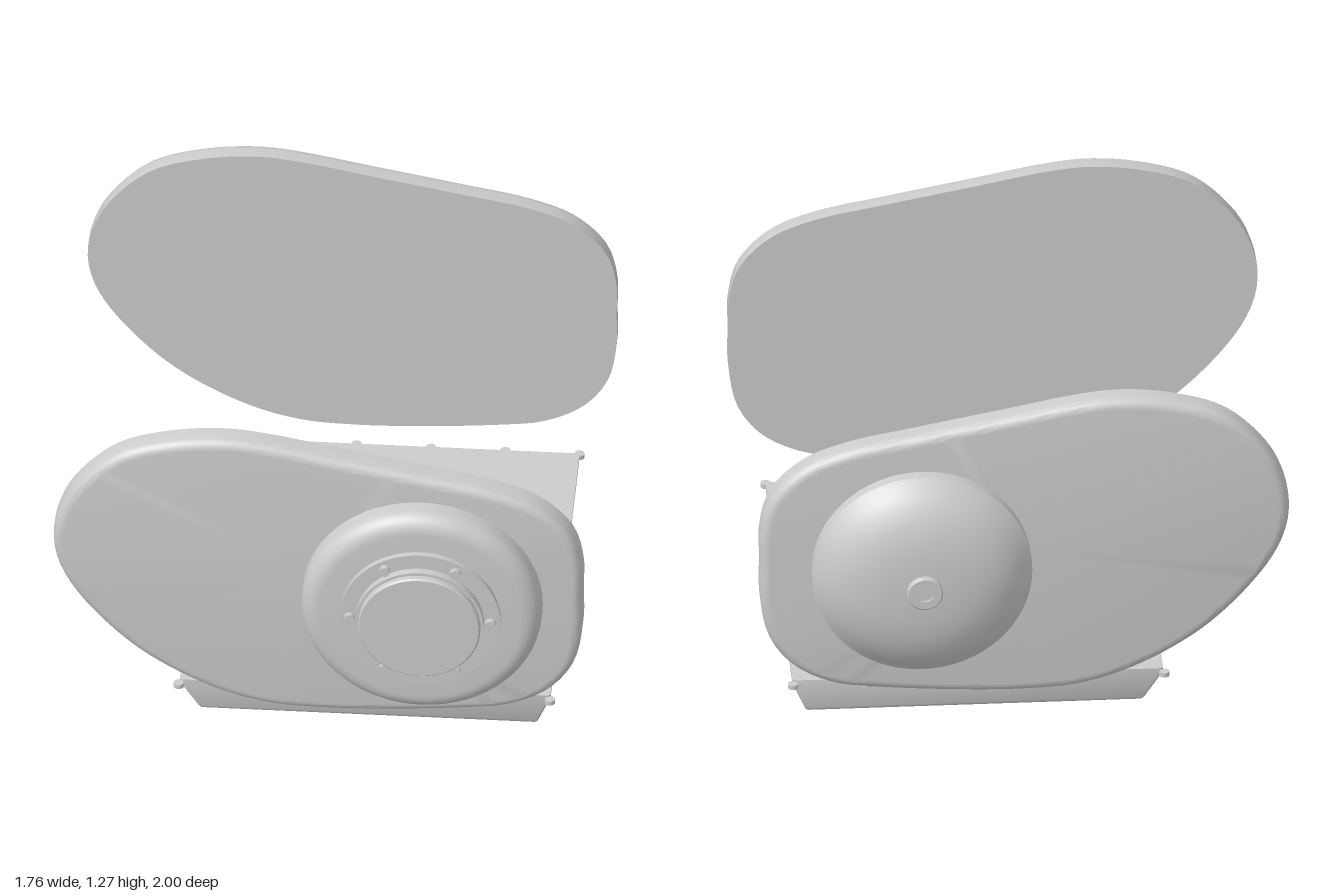
import * as THREE from 'three';
import { toCreasedNormals } from 'three/addons/utils/BufferGeometryUtils.js';

const grey = new THREE.MeshStandardMaterial({ color: 0xcccccc });
grey.name = 'plain grey';

// Joins rings of equal point count (counter-clockwise about the stacking direction) and closes both ends.
function loft(rings, crease = 0.6) {
  const n = rings[0].length, pos = [], idx = [];
  rings.forEach(r => r.forEach(p => pos.push(p.x, p.y, p.z)));
  for (let k = 0; k < rings.length - 1; k++) {
    for (let i = 0; i < n; i++) {
      const j = (i + 1) % n, a = k * n, b = a + n;
      idx.push(a + i, a + j, b + j, a + i, b + j, b + i);
    }
  }
  [0, rings.length - 1].forEach((k, end) => {
    const c = new THREE.Vector3();
    rings[k].forEach(p => c.addScaledVector(p, 1 / n));
    const ci = pos.length / 3;
    pos.push(c.x, c.y, c.z);
    for (let i = 0; i < n; i++) {
      const a = k * n + i, b = k * n + (i + 1) % n;
      if (end) idx.push(ci, a, b); else idx.push(ci, b, a);
    }
  });
  const g = new THREE.BufferGeometry();
  g.setAttribute('position', new THREE.Float32BufferAttribute(pos, 3));
  g.setIndex(idx);
  return toCreasedNormals(g, crease);
}

function add(parent, name, geometry, x = 0, y = 0, z = 0) {
  const m = new THREE.Mesh(geometry, grey);
  m.name = name;
  m.position.set(x, y, z);
  parent.add(m);
  return m;
}

// Round part turned about the z axis; dir is +1 for forward, -1 for backward
function turned(profile, dir) {
  const g = new THREE.LatheGeometry(profile.map(p => new THREE.Vector2(...p)), 64);
  return toCreasedNormals(g.rotateX(dir * Math.PI / 2), 0.6);
}

// Side cover outline, counter-clockwise
const outline = [
  [0.88, 0.55], [0.88, 0.68], [0.88, 0.80], [0.845, 0.93], [0.74, 1.04], [0.60, 1.10],
  [0.35, 1.153], [0.08, 1.206], [-0.18, 1.257], [-0.32, 1.27], [-0.5, 1.25], [-0.67, 1.19],
  [-0.81, 1.05], [-0.865, 0.93], [-0.88, 0.83], [-0.86, 0.72], [-0.79, 0.59], [-0.60, 0.385],
  [-0.36, 0.24], [-0.17, 0.182], [0, 0.17], [0.2, 0.174], [0.5, 0.197], [0.64, 0.22],
  [0.77, 0.29], [0.85, 0.40],
].map(p => new THREE.Vector3(p[0], p[1], 0));

function coverRing(inset, z) {
  const curve = new THREE.CatmullRomCurve3(outline, true, 'centripetal');
  const ring = [];
  for (let i = 0; i < 120; i++) {
    const p = curve.getPointAt(i / 120), t = curve.getTangentAt(i / 120);
    ring.push(new THREE.Vector3(p.x - t.y * inset, p.y + t.x * inset, z));
  }
  return ring;
}

// Flat cover with a rounded outer edge
function cover(inner, outer) {
  const r = 0.035, dir = Math.sign(outer);
  const rings = [coverRing(0, inner)];
  for (let i = 0; i <= 6; i++) {
    const a = i / 6 * Math.PI / 2;
    rings.push(coverRing(r * (1 - Math.cos(a)), outer - dir * r * (1 - Math.sin(a))));
  }
  return loft(dir > 0 ? rings : rings.reverse());
}

// Rectangle with rounded corners, lying flat
function panRing(x0, x1, z0, z1, y) {
  const r = 0.012, ring = [];
  [[x1, z0, -1, 1], [x0, z0, 1, 1], [x0, z1, 1, -1], [x1, z1, -1, -1]].forEach(([x, z, sx, sz], k) => {
    for (let i = 0; i <= 4; i++) {
      const a = (k + i / 4) * Math.PI / 2;
      ring.push(new THREE.Vector3(x + sx * r + r * Math.cos(a), y, z + sz * r - r * Math.sin(a)));
    }
  });
  return ring;
}

export function createModel() {
  const model = new THREE.Group();
  model.name = 'coverSet';

  // Front cover with stepped round housing
  const front = new THREE.Group();
  front.name = 'frontCover';
  model.add(front);
  add(front, 'frontPlate', cover(0.752, 0.835));
  const rim = [[0, 0], [0.4, 0], [0.4, 0.04]];
  for (let i = 1; i <= 8; i++) {
    const a = i / 8 * Math.PI / 2;
    rim.push([0.335 + 0.065 * Math.cos(a), 0.04 + 0.058 * Math.sin(a)]);
  }
  rim.push([0, 0.098]);
  add(front, 'roundHousing', turned(rim, 1), 0.35, 0.66, 0.835);
  add(front, 'housingRing', turned([[0, 0], [0.267, 0], [0.267, 0.022], [0, 0.022]], 1), 0.35, 0.66, 0.93);
  add(front, 'centreCap', turned(
    [[0, 0], [0.213, 0], [0.213, 0.028], [0.203, 0.028], [0.203, 0.045], [0.198, 0.05], [0, 0.05]], 1), 0.35, 0.66, 0.95);
  for (let i = 0; i < 6; i++) {
    const a = i * Math.PI / 3;
    const bolt = new THREE.CylinderGeometry(0.018, 0.018, 0.02, 16).rotateX(Math.PI / 2);
    add(front, 'ringBolt', bolt, 0.35 + 0.235 * Math.cos(a), 0.66 + 0.235 * Math.sin(a), 0.96);
  }

  // Rear cover with domed housing
  const rear = new THREE.Group();
  rear.name = 'rearCover';
  model.add(rear);
  add(rear, 'rearPlate', cover(-0.736, -0.816));
  add(rear, 'domedHousing', turned([
    [0, 0], [0.366, 0], [0.366, 0.04], [0.352, 0.052], [0.325, 0.083], [0.285, 0.115], [0.235, 0.138],
    [0.18, 0.154], [0.12, 0.162], [0.06, 0.165], [0, 0.166]], -1), 0.345, 0.66, -0.816);
  add(rear, 'domeStud', turned(
    [[0, 0], [0.06, 0], [0.06, 0.026], [0.055, 0.03], [0.028, 0.03], [0.028, 0.022], [0, 0.022]], -1), 0.345, 0.66, -0.97);

  // Bottom pan with sloping ends and rounded lower side edges
  const pan = new THREE.Group();
  pan.name = 'bottomPan';
  model.add(pan);
  const levels = [[0.03, 0.02], [0.032, 0.011], [0.037, 0.004], [0.046, 0], [0.135, 0], [0.152, 0]];
  add(pan, 'panBody', loft(levels.map(([y, inset]) => {
    const t = Math.min(1, (y - 0.03) / 0.105);
    return panRing(-0.40 - 0.07 * t, 0.717 + 0.046 * t, -0.656 + inset, 0.672 - inset, y);
  })));

  // Rim bolts along both long edges
  for (let i = 0; i < 6; i++) {
    for (const z of [-0.665, 0.681]) {
      add(pan, 'rimBolt', new THREE.CylinderGeometry(0.017, 0.017, 0.016, 16), -0.473 + i * 0.247, 0.138, z);
    }
  }

  // Drain plug
  add(pan, 'drainPlug', toCreasedNormals(new THREE.CylinderGeometry(0.037, 0.037, 0.032, 6).rotateY(Math.PI / 6), 0.3), 0.145, 0.016, 0.01);
  return model;
}
